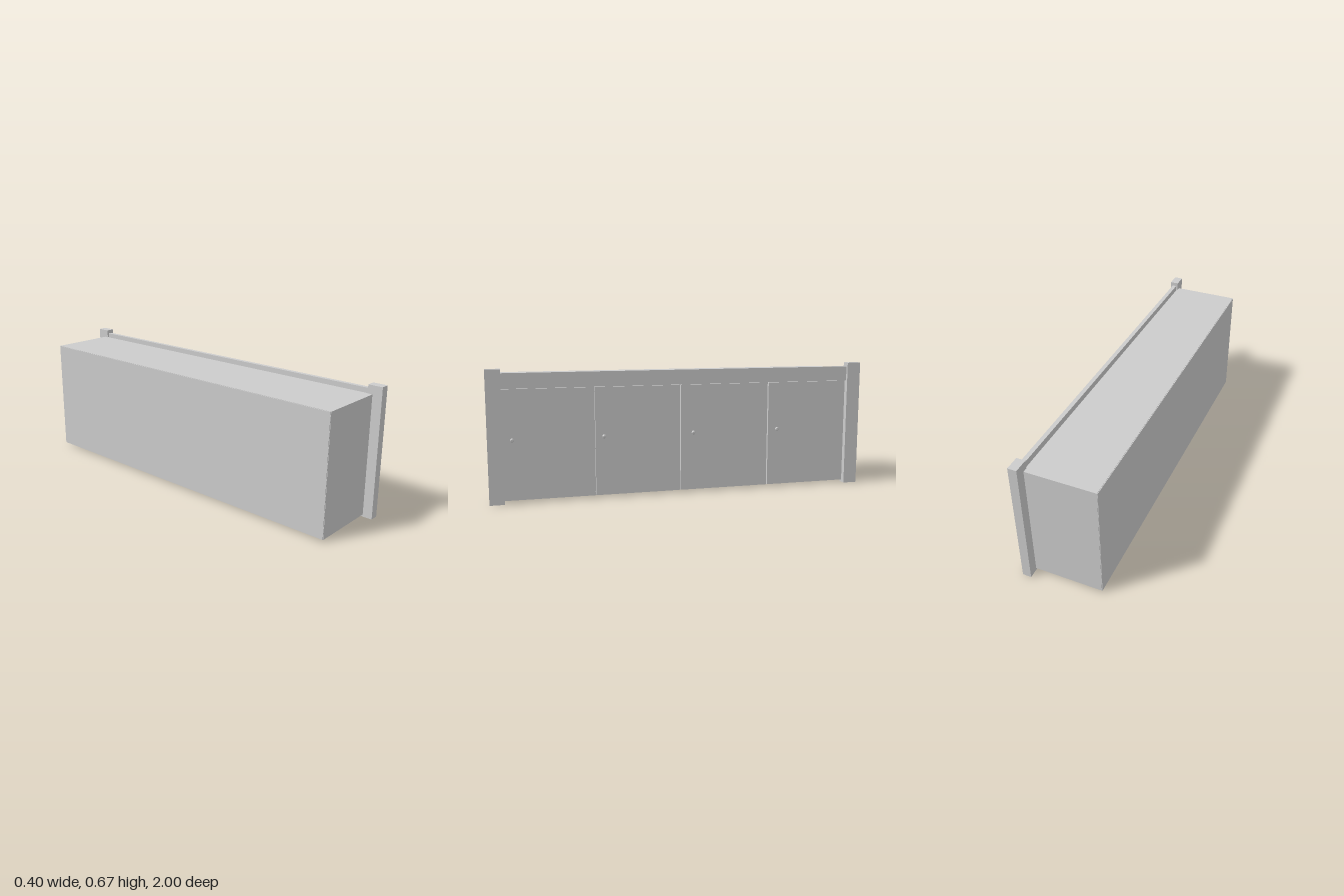
import * as THREE from 'three';

const material = new THREE.MeshStandardMaterial({ color: 0xcccccc, flatShading: true });

// Box given by its minimum and maximum along each axis
function addBox(parent, name, [x0, x1], [y0, y1], [z0, z1]) {
  const mesh = new THREE.Mesh(new THREE.BoxGeometry(x1 - x0, y1 - y0, z1 - z0), material);
  mesh.position.set((x0 + x1) / 2, (y0 + y1) / 2, (z0 + z1) / 2);
  mesh.name = name;
  parent.add(mesh);
  return mesh;
}

export function createModel() {
  const model = new THREE.Group();
  model.name = 'sideboard';

  // Carcass panels; the doors face +x
  const carcass = new THREE.Group();
  carcass.name = 'carcass';
  model.add(carcass);
  addBox(carcass, 'topPanel', [-0.197, 0.16], [0.608, 0.628], [-0.95, 0.95]);
  addBox(carcass, 'bottomPanel', [-0.197, 0.158], [0.009, 0.029], [-0.948, 0.948]);
  addBox(carcass, 'backPanel', [-0.2, -0.19], [0.011, 0.626], [-0.948, 0.948]);
  for (const side of [-1, 1]) {
    const a = side * 0.93, b = side * 0.95;
    addBox(carcass, 'sidePanel', [-0.197, 0.16], [0.012, 0.608], [Math.min(a, b), Math.max(a, b)]);
  }

  // Partitions behind the door seams
  const seams = [0.468, 0.018, -0.472];
  for (const z of seams) {
    addBox(carcass, 'partition', [-0.19, 0.154], [0.029, 0.608], [z - 0.01, z + 0.01]);
  }

  // Square corner posts and the top rail between them
  for (const z of [-0.9625, 0.9625]) {
    addBox(model, 'cornerPost', [0.155, 0.2], [0, 0.672], [z - 0.0375, z + 0.0375]);
  }
  addBox(model, 'topRail', [0.165, 0.187], [0.575, 0.652], [-0.925, 0.925]);

  // Four doors with narrow seams, each with a small round knob
  const gap = 0.003;
  const edges = [0.925 + gap, ...seams, -0.925 - gap];
  const knobs = [0.88, 0.422, -0.051, -0.522];
  const knobProfile = [[0, 0], [0.005, 0], [0.005, 0.006], [0.01, 0.01], [0.01, 0.015], [0.006, 0.019], [0, 0.019]]
    .map(([r, h]) => new THREE.Vector2(r, h));
  const knobGeometry = new THREE.LatheGeometry(knobProfile, 10).rotateZ(-Math.PI / 2);
  knobs.forEach((z, i) => {
    const door = new THREE.Group();
    door.name = 'door';
    addBox(door, 'doorPanel', [0.155, 0.172], [0.012, 0.572], [edges[i + 1] + gap, edges[i] - gap]);
    const knob = new THREE.Mesh(knobGeometry, material);
    knob.name = 'doorKnob';
    knob.position.set(0.172, 0.32, z);
    door.add(knob);
    model.add(door);
  });

  return model;
}
